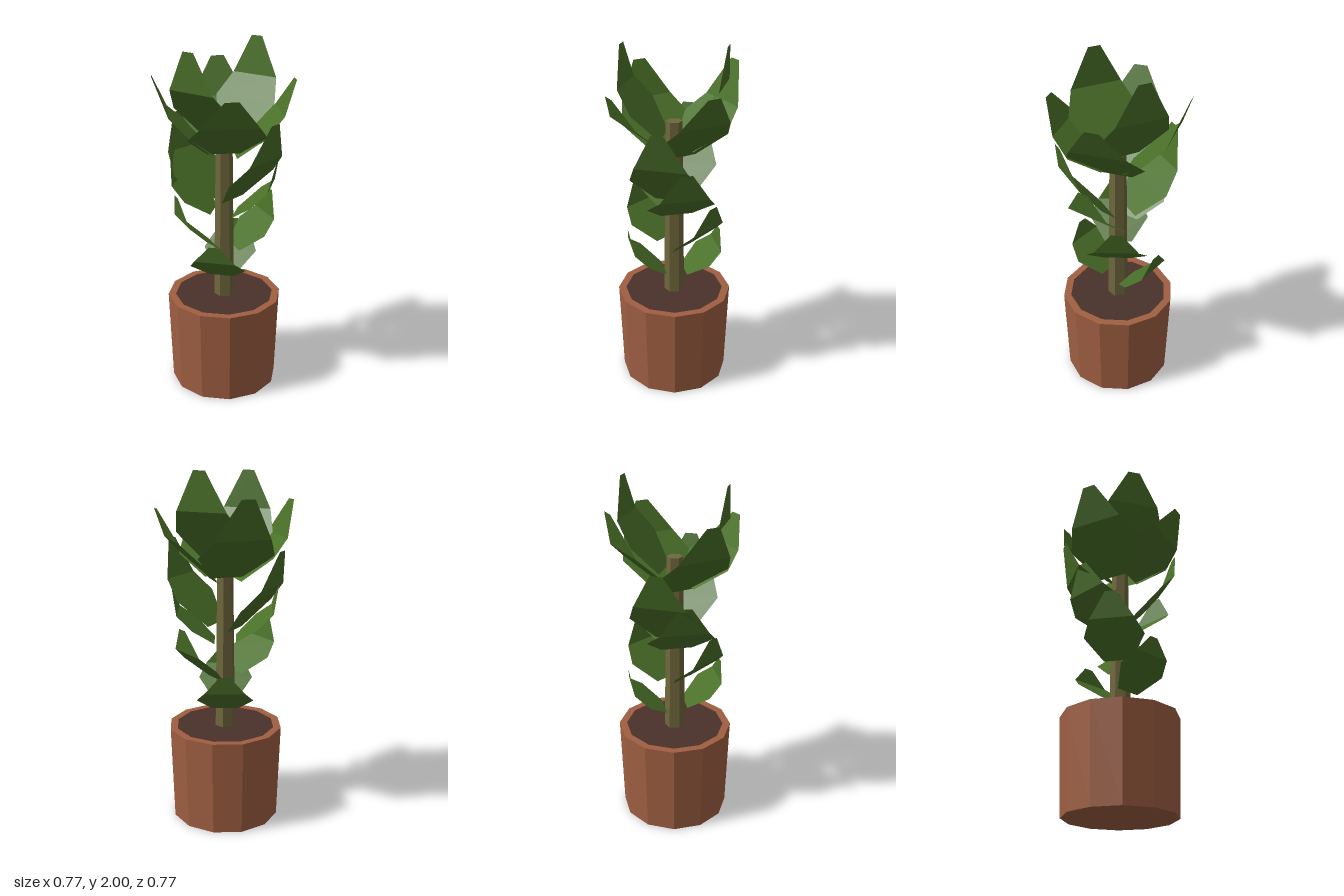
import * as THREE from 'three';

const mat = (name, color, extra = {}) => {
  const m = new THREE.MeshStandardMaterial({ color, ...extra });
  m.name = name;
  return m;
};

// Faceted copy of a geometry
function faceted(geo) {
  const g = geo.index ? geo.toNonIndexed() : geo;
  g.computeVertexNormals();
  return g;
}

function mesh(name, geo, material) {
  const m = new THREE.Mesh(faceted(geo), material);
  m.name = name;
  return m;
}

// Leaf blade lofted from rows of [outward distance, height, half width]
function leafGeometry(rows) {
  const pos = [], index = [];
  rows.forEach(([t, y, w], i) => {
    pos.push(-w, y, t, w, y, t);
    if (i > 0) {
      const a = 2 * (i - 1);
      index.push(a, a + 2, a + 1, a + 1, a + 2, a + 3);
    }
  });
  const g = new THREE.BufferGeometry();
  g.setAttribute('position', new THREE.Float32BufferAttribute(pos, 3));
  g.setIndex(index);
  return g;
}

export function createModel() {
  const model = new THREE.Group();
  model.name = 'pottedPlant';

  const terracotta = mat('terracotta', 0xa05f42);
  const earth = mat('earth', 0x49312a);
  const bark = mat('bark', 0x6f673c);
  const foliage = mat('foliage', 0x4a7028, { side: THREE.DoubleSide });

  // Twelve-sided pot with a flat rim
  const profile = [[0, 0], [0.31, 0], [0.328, 0.545], [0.285, 0.545], [0.285, 0.53]]
    .map(([r, y]) => new THREE.Vector2(r, y));
  model.add(mesh('pot', new THREE.LatheGeometry(profile, 12), terracotta));

  // Soil disc just below the rim
  const soil = mesh('soil', new THREE.CircleGeometry(0.286, 12), earth);
  soil.rotation.x = -Math.PI / 2;
  soil.position.y = 0.54;
  model.add(soil);

  // Tapered six-sided stem
  const stem = mesh('stem', new THREE.CylinderGeometry(0.045, 0.059, 1.05, 6), bark);
  stem.rotation.y = Math.PI / 6;
  stem.position.y = 1.055;
  model.add(stem);

  // Leaves from bottom to top: heading in degrees (0 = front, 90 = +x), width scale,
  // base height, crease distance and height, tip distance and height
  const leaves = [
    [162, 0.78, 0.66, 0.25, 0.81, 0.265, 0.91],
    [-18, 0.78, 0.68, 0.25, 0.84, 0.265, 0.94],
    [107, 0.84, 0.83, 0.255, 1.01, 0.285, 1.15],
    [-73, 0.84, 0.86, 0.255, 1.03, 0.285, 1.18],
    [72, 0.93, 1.05, 0.265, 1.22, 0.3, 1.38],
    [-108, 0.93, 1.06, 0.265, 1.23, 0.3, 1.39],
    [-135, 0.98, 1.12, 0.287, 1.38, 0.342, 1.58],
    [45, 0.98, 1.14, 0.287, 1.4, 0.342, 1.61],
    [0, 1.05, 1.41, 0.305, 1.61, 0.385, 1.765],
    [90, 1.05, 1.39, 0.305, 1.63, 0.385, 1.8],
    [-90, 1.05, 1.4, 0.305, 1.635, 0.385, 1.83],
    [180, 1.05, 1.42, 0.305, 1.65, 0.385, 1.865],
    [-45, 1, 1.49, 0.267, 1.77, 0.285, 1.98],
    [135, 1, 1.5, 0.267, 1.79, 0.285, 2.0],
  ];
  const foliageGroup = new THREE.Group();
  foliageGroup.name = 'leaves';
  for (const [deg, s, baseY, creaseT, creaseY, tipT, tipY] of leaves) {
    const mix = THREE.MathUtils.lerp;
    const leaf = mesh('leaf', leafGeometry([
      [0.06, baseY, 0.095 * s],
      [mix(0.06, creaseT, 0.58), mix(baseY, creaseY, 0.58), 0.203 * s],
      [creaseT, creaseY, 0.148 * s],
      [tipT, tipY, 0.035 * s],
    ]), foliage);
    leaf.rotation.y = THREE.MathUtils.degToRad(deg);
    foliageGroup.add(leaf);
  }
  model.add(foliageGroup);

  return model;
}
